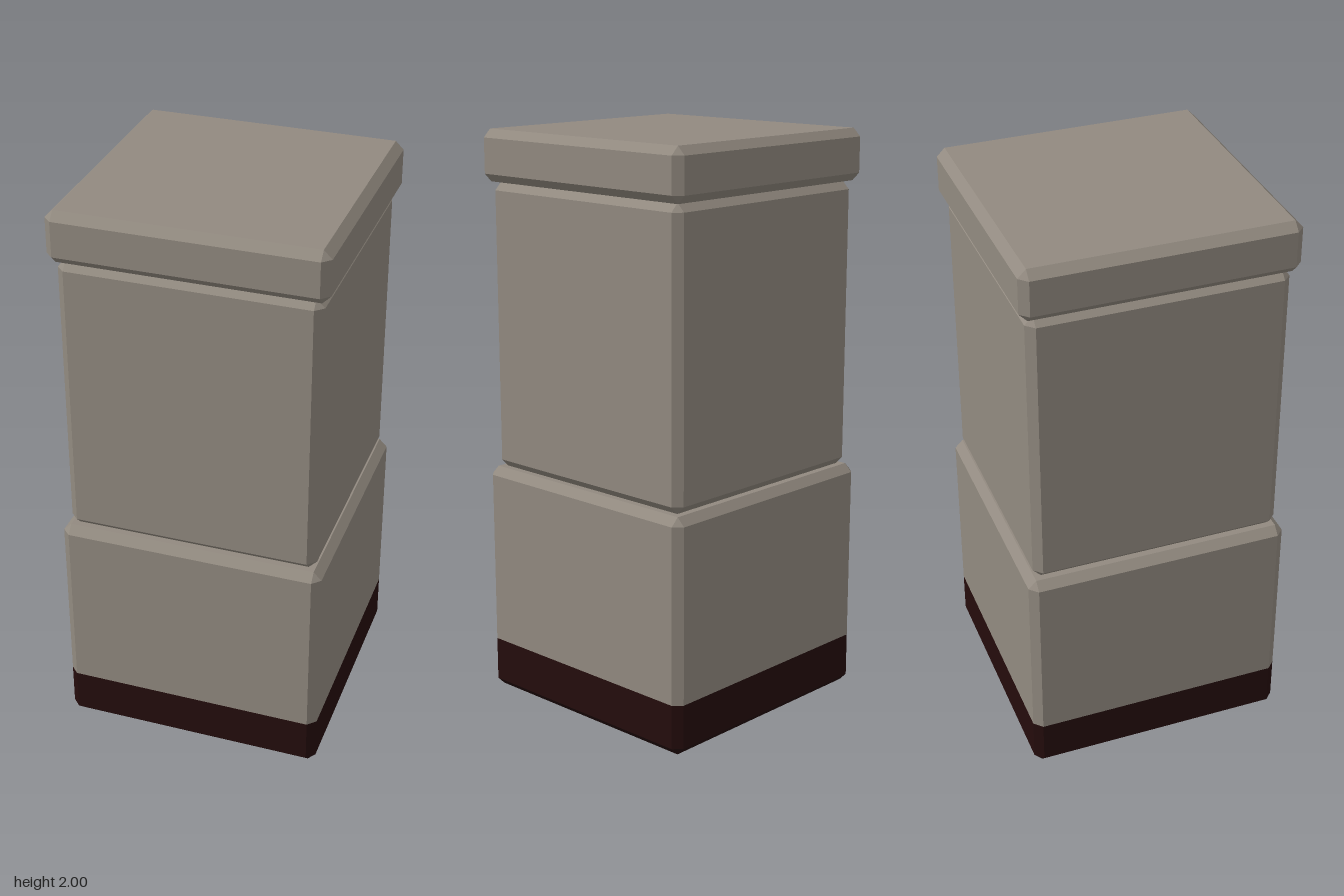
import * as THREE from 'three';
import { ConvexGeometry } from 'three/addons/geometries/ConvexGeometry.js';

const BEVEL = 0.028;

// Square block with bevelled upright edges; top and bottom rims are bevelled on request.
function block(name, half, y0, y1, bevelBottom, bevelTop, material) {
  const inner = half - BEVEL;
  const points = [];
  const ring = (y) => {
    for (const sx of [-1, 1]) for (const sz of [-1, 1]) {
      points.push(new THREE.Vector3(sx * half, y, sz * inner));
      points.push(new THREE.Vector3(sx * inner, y, sz * half));
    }
  };
  const square = (y) => {
    for (const sx of [-1, 1]) for (const sz of [-1, 1]) {
      points.push(new THREE.Vector3(sx * inner, y, sz * inner));
    }
  };
  if (bevelBottom) square(y0);
  ring(bevelBottom ? y0 + BEVEL : y0);
  ring(bevelTop ? y1 - BEVEL : y1);
  if (bevelTop) square(y1);
  const mesh = new THREE.Mesh(new ConvexGeometry(points), material);
  mesh.name = name;
  return mesh;
}

export function createModel() {
  const stone = new THREE.MeshStandardMaterial({ color: 0x928a80 });
  stone.name = 'stone';
  const darkBand = new THREE.MeshStandardMaterial({ color: 0x240c0c });
  darkBand.name = 'dark band';

  const group = new THREE.Group();
  group.name = 'pillar';
  group.add(
    block('foot', 0.461, 0, 0.182, true, false, darkBand),
    block('base', 0.461, 0.182, 0.823, false, true, stone),
    block('shaft', 0.437, 0.823, 1.823, true, true, stone),
    block('cap', 0.461, 1.823, 2, true, true, stone),
  );
  return group;
}
